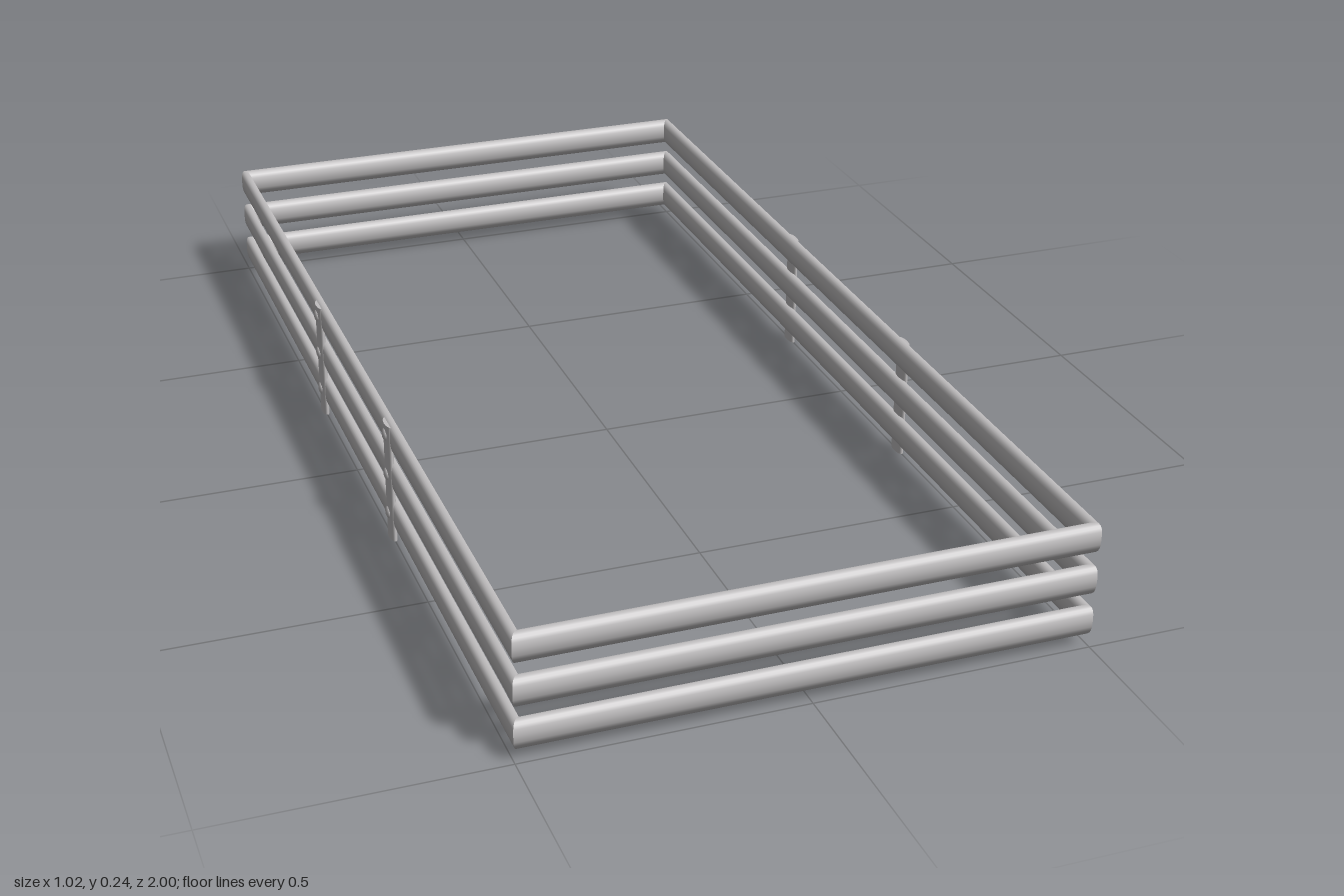
import * as THREE from 'three';

const steel = new THREE.MeshStandardMaterial({ color: 0xc0bebf });
steel.name = 'steel grey';

const HALF_X = 0.502, HALF_Z = 1.0;      // outer size of the frame
const RAIL_Y = [0.051, 0.129, 0.208];    // rail centre heights
const POST_HEIGHT = 0.23;

// Mitred rectangular loop of flattened round bars, smooth around each bar, sharp at the mitres.
function railGeometry() {
  const SIDES = 20, THICK = 0.0085, TALL = 0.0275;
  const squarish = v => Math.sign(v) * Math.abs(v) ** 0.7;
  const corners = [[1, 1], [1, -1], [-1, -1], [-1, 1]];
  const pos = [], norm = [], index = [];
  corners.forEach((start, c) => {
    const end = corners[(c + 1) % 4];
    // outward direction of this side
    const ox = (start[0] + end[0]) / 2, oz = (start[1] + end[1]) / 2;
    const base = pos.length / 3;
    for (let i = 0; i <= SIDES; i++) {
      const t = (i / SIDES) * Math.PI * 2;
      const inset = THICK * (1 - squarish(Math.cos(t)));
      const y = TALL * squarish(Math.sin(t));
      for (const [sx, sz] of [start, end]) {
        pos.push(sx * (HALF_X - inset), y, sz * (HALF_Z - inset));
        norm.push(ox * Math.cos(t), Math.sin(t), oz * Math.cos(t));
      }
      if (i < SIDES) {
        const a = base + i * 2;
        index.push(a, a + 1, a + 3, a, a + 3, a + 2);
      }
    }
  });
  const g = new THREE.BufferGeometry();
  g.setAttribute('position', new THREE.Float32BufferAttribute(pos, 3));
  g.setAttribute('normal', new THREE.Float32BufferAttribute(norm, 3));
  g.setIndex(index);
  return g;
}

// Upright strap with a bowed face; local +x points outward.
function postGeometry() {
  const g = new THREE.CylinderGeometry(0.021, 0.021, POST_HEIGHT, 24);
  g.scale(0.33, 1, 1);
  g.translate(0, POST_HEIGHT / 2, 0);
  return g;
}

// Domed bolt head facing +x.
function boltGeometry() {
  const g = new THREE.SphereGeometry(0.012, 16, 6, 0, Math.PI * 2, 0, Math.PI / 2);
  g.scale(1, 0.5, 1);
  g.rotateZ(-Math.PI / 2);
  return g;
}

export function createModel() {
  const model = new THREE.Group();
  model.name = 'railFrame';

  const railGeo = railGeometry();
  RAIL_Y.forEach((y, i) => {
    const rail = new THREE.Mesh(railGeo, steel);
    rail.name = ['lowerRail', 'middleRail', 'upperRail'][i];
    rail.position.y = y;
    model.add(rail);
  });

  // two bolted posts on each long side
  const postGeo = postGeometry(), boltGeo = boltGeometry();
  for (const side of [1, -1]) {
    for (const end of [1, -1]) {
      const group = new THREE.Group();
      group.name = (side > 0 ? 'left' : 'right') + (end > 0 ? 'Front' : 'Back') + 'Post';
      const post = new THREE.Mesh(postGeo, steel);
      post.name = 'postStrap';
      group.add(post);
      for (const y of RAIL_Y) {
        const bolt = new THREE.Mesh(boltGeo, steel);
        bolt.name = 'boltHead';
        bolt.position.set(0.005, y, 0);
        group.add(bolt);
      }
      group.position.set(side * 0.5, 0, end * 0.262);
      if (side < 0) group.rotation.y = Math.PI;
      model.add(group);
    }
  }
  return model;
}
